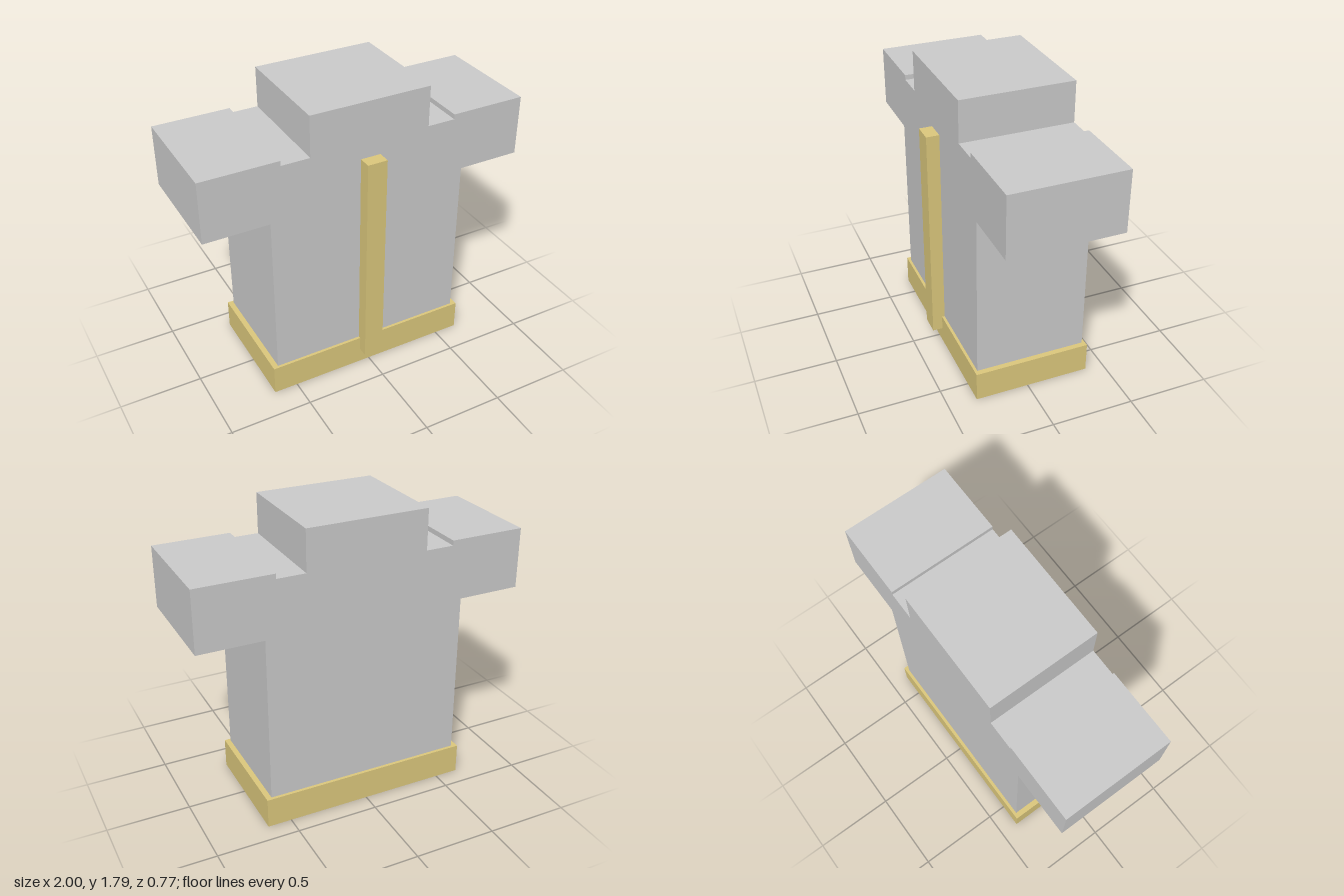
import * as THREE from 'three';

const grey = new THREE.MeshStandardMaterial({ color: 0xcccccc, flatShading: true });
const tan = new THREE.MeshStandardMaterial({ color: 0xddc97d, flatShading: true });

// Box given by its lower and upper corners
function block(name, min, max, material) {
  const size = max.map((v, i) => v - min[i]);
  const mesh = new THREE.Mesh(new THREE.BoxGeometry(...size), material);
  mesh.position.set(...max.map((v, i) => (v + min[i]) / 2));
  mesh.name = name;
  return mesh;
}

export function createModel() {
  const group = new THREE.Group();
  group.name = 'tunic';

  // Torso, sleeves, shoulder notches and collar block as one mirrored outline
  const half = [
    [0.612, 0.01], [0.612, 1.2], [1, 1.2], [1, 1.57],
    [0.538, 1.57], [0.538, 1.54], [0.367, 1.54], [0.367, 1.787],
  ];
  const mirrored = half.map(([x, y]) => [-x, y]).reverse();
  const outline = new THREE.Shape([...half, ...mirrored].map(([x, y]) => new THREE.Vector2(x, y)));
  const back = -0.367, front = 0.308;
  const bodyGeometry = new THREE.ExtrudeGeometry(outline, { depth: front - back, bevelEnabled: false });
  bodyGeometry.translate(0, 0, back);
  const body = new THREE.Mesh(bodyGeometry, grey);
  body.name = 'body';
  group.add(body);

  // Hem band around the bottom, with a grey underside (box face order +x -x +y -y +z -z)
  group.add(block('hemBand', [-0.645, 0, -0.386], [0.645, 0.185, 0.325], [tan, tan, tan, grey, tan, tan]));

  // Raised strip down the middle of the front
  group.add(block('frontStrip', [-0.062, 0.095, 0.3], [0.06, 1.447, 0.386], tan));

  return group;
}
